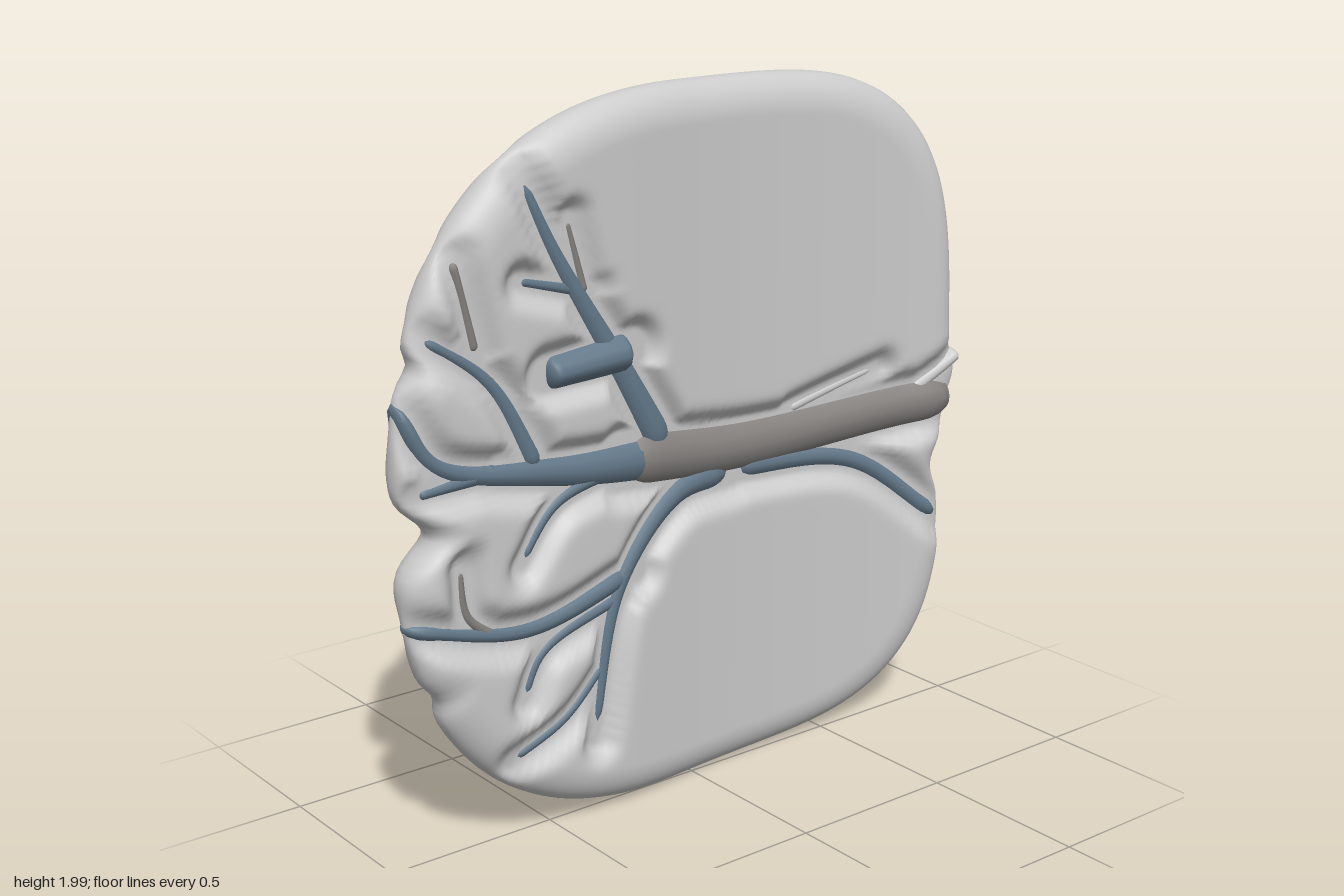
import * as THREE from 'three';
import { mergeVertices } from 'three/addons/utils/BufferGeometryUtils.js';

const HALF = 0.08; // half thickness of the slab
const MID = 0.995; // height of the slab's middle
const BLUE = 0x64798a, BROWN = 0x85827f, GREY = 0xcccccc;

// Gentle sideways bow of the whole model along z
const bow = new THREE.SplineCurve(
  [0.03, -0.02, -0.042, -0.045, -0.03, 0, 0.02, 0.032, 0.04].map((x, i) => new THREE.Vector2(i / 4 - 1, x)));
const bowX = z => bow.getPoint(THREE.MathUtils.clamp((z + 1) / 2, 0, 1)).y;

// One branch: a curve through [z, y] points, thinning from radius r0 to r1
const branch = (name, color, r0, r1, points, lift = 0) => ({
  name, color, lift,
  curve: new THREE.CatmullRomCurve3(points.map(([z, y]) => new THREE.Vector3(0, y, z))),
  radius: u => THREE.MathUtils.lerp(r0, r1, u),
});

const makeBranches = () => [
  branch('trunk', BROWN, 0.075, 0.085, [[-0.97, 0.98], [-0.2, 0.95], [0.28, 1]]),
  branch('frontBough', BLUE, 0.075, 0.022, [[0.1, 0.98], [0.5, 1.02], [0.87, 1.11], [0.97, 1.28]]),
  branch('frontTwig', BLUE, 0.04, 0.022, [[0.68, 1.06], [0.93, 1.04]]),
  branch('rearRoot', BLUE, 0.045, 0.035, [[-0.15, 0.89], [-0.6, 0.83], [-0.92, 0.6]]),
  branch('lowerBough', BLUE, 0.055, 0.025, [[-0.15, 0.89], [0.07, 0.86], [0.28, 0.65], [0.38, 0.23]]),
  branch('lowerFrontBranch', BLUE, 0.045, 0.027, [[0.23, 0.68], [0.6, 0.605], [0.97, 0.69]]),
  branch('lowerMiddleTwig', BLUE, 0.032, 0.023, [[0.28, 0.62], [0.55, 0.53], [0.62, 0.41]]),
  branch('lowestTwig', BLUE, 0.026, 0.024, [[0.34, 0.44], [0.48, 0.32], [0.66, 0.25]]),
  branch('lowerUpTwig', BROWN, 0.028, 0.02, [[0.7, 0.61], [0.79, 0.69], [0.81, 0.83]]),
  branch('middleTwig', BLUE, 0.036, 0.022, [[0.28, 0.99], [0.5, 0.93], [0.62, 0.79]]),
  branch('upperBough', BLUE, 0.062, 0.024, [[0.1, 0.98], [0.26, 1.24], [0.49, 1.6], [0.6, 1.82]]),
  branch('upperSideTwig', BLUE, 0.03, 0.022, [[0.38, 1.48], [0.61, 1.54]]),
  branch('upperUpTwig', BROWN, 0.025, 0.02, [[0.39, 1.47], [0.45, 1.68]]),
  branch('upperFrontBranch', BLUE, 0.04, 0.022, [[0.55, 1.03], [0.7, 1.29], [0.9, 1.44]]),
  branch('upperFrontTwig', BROWN, 0.026, 0.02, [[0.74, 1.37], [0.8, 1.62]]),
  branch('rearTwig', GREY, 0.025, 0.02, [[-0.35, 1.02], [-0.68, 1.1]]),
  branch('rearRootTip', GREY, 0.035, 0.025, [[-0.78, 0.99], [-0.98, 1.11]]),
  branch('stub', BLUE, 0.06, 0.05, [[0.24, 1.3], [0.53, 1.285]], 0.025),
];

// Rim of the slab at an angle: squarer at the rear, rounder and scalloped at the front
function rimPoint(angle) {
  const cos = Math.cos(angle), sin = Math.sin(angle), front = cos > 0;
  const n = front ? 2.5 : 4, reach = front ? 0.985 : 0.945;
  const rho = (Math.abs(cos / reach) ** n + Math.abs(sin / MID) ** n) ** (-1 / n);
  const y = MID + rho * sin;
  const dent = (at, width) => Math.exp(-(((y - at) / width) ** 2));
  const shift = front
    ? 0.1 * dent(0.92, 0.07) + 0.04 * dent(1.36, 0.04) + 0.03 * dent(0.47, 0.04)
    : 0.05 * dent(0.77, 0.09) - 0.035 * dent(1.06, 0.08);
  return { y, z: cos * (rho - shift) };
}

// Puffy slab: concentric rings on both faces joined at the rim, sunk around the branches
function slabGeometry(branches) {
  const SEG = 288, RINGS = 88, LAYERS = 2 * RINGS, pos = [], idx = [];
  const samples = branches.flatMap(b => Array.from({ length: 33 }, (_, i) =>
    ({ p: b.curve.getPointAt(i / 32), r: b.radius(i / 32) })));
  const groove = (z, y) => {
    let gap = 1;
    for (const { p, r } of samples) gap = Math.min(gap, Math.hypot(z - p.z, y - p.y) - r);
    return 1 - 0.5 * Math.exp(-((Math.max(0, gap) / 0.032) ** 2));
  };
  for (let k = 0; k <= LAYERS; k++) {
    const side = k <= RINGS ? 1 : -1;
    const q = 1 - Math.abs(k - RINGS) / RINGS; // 0 at the middle, 1 at the rim
    const s = 1 - (1 - q) ** 1.3;              // rings gather towards the rim
    const d = Math.min(1, (1 - s) / 0.11);
    const edge = Math.sqrt(1 - (1 - d) ** 2);
    for (let j = 0; j < SEG; j++) {
      const rim = rimPoint(j / SEG * Math.PI * 2);
      const z = rim.z * s, y = MID + (rim.y - MID) * s;
      pos.push(bowX(z) + side * HALF * edge * groove(z, y), y, z);
      if (k < LAYERS) {
        const a = k * SEG + j, b = k * SEG + (j + 1) % SEG;
        idx.push(a, b, a + SEG, b, b + SEG, a + SEG);
      }
    }
  }
  const g = new THREE.BufferGeometry();
  g.setAttribute('position', new THREE.Float32BufferAttribute(pos, 3));
  g.setIndex(idx);
  return smooth(g);
}

// Weld the seams and shade smoothly
function smooth(geometry) {
  geometry.deleteAttribute('uv');
  geometry.deleteAttribute('normal');
  const g = mergeVertices(geometry, 1e-5);
  g.computeVertexNormals();
  return g;
}

// Tapered, round-tipped tube, its sideways depth fitted to the slab
function branchGeometry({ curve, radius, lift }) {
  const N = 40, R = 14;
  const g = new THREE.TubeGeometry(curve, N, 1, R, false);
  const p = g.attributes.position, v = new THREE.Vector3();
  for (let i = 0; i <= N; i++) {
    const u = i / N, c = curve.getPointAt(u), r = radius(u);
    const end = Math.min(1, Math.min(u, 1 - u) / 0.1);
    const round = Math.sqrt(1 - (1 - end) ** 2);
    for (let j = 0; j <= R; j++) {
      const k = i * (R + 1) + j;
      v.fromBufferAttribute(p, k).sub(c).multiplyScalar(round);
      const z = c.z + v.z * r;
      p.setXYZ(k, bowX(z) + v.x * (0.034 + 0.46 * r + lift), c.y + v.y * r, z);
    }
  }
  return smooth(g);
}

export function createModel() {
  const group = new THREE.Group();
  const add = (name, geometry, color) => {
    const mesh = new THREE.Mesh(geometry, new THREE.MeshStandardMaterial({ color }));
    mesh.name = name;
    group.add(mesh);
  };
  const branches = makeBranches();
  add('foliageSlab', slabGeometry(branches), GREY);
  for (const b of branches) add(b.name, branchGeometry(b), b.color);
  return group;
}
